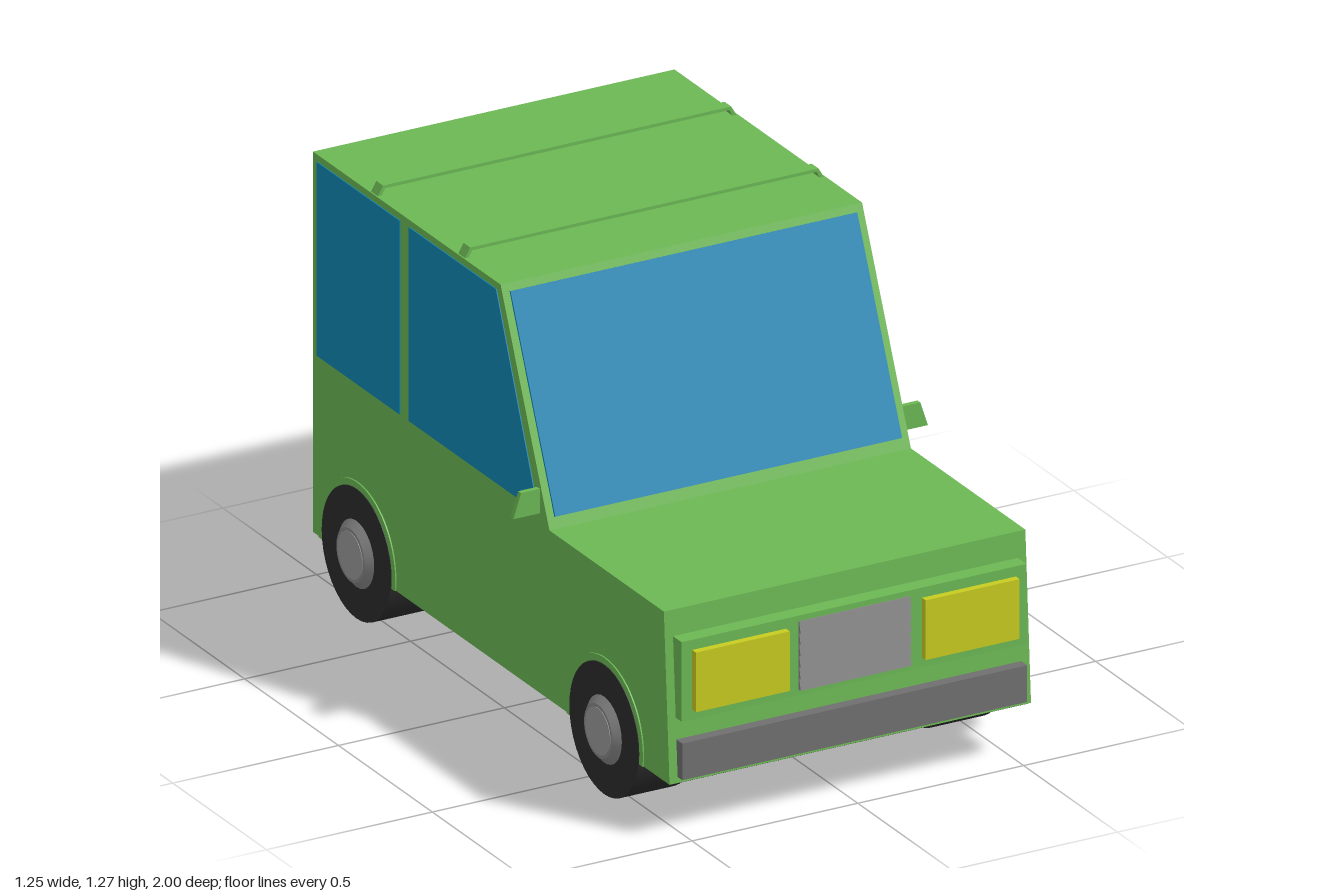
import * as THREE from 'three';

const mat = (name, color) => {
  const m = new THREE.MeshStandardMaterial({ color });
  m.name = name;
  return m;
};

export function createModel() {
  const car = new THREE.Group();
  car.name = 'car';
  const green = mat('bodyGreen', 0x6cb854);
  const glass = mat('windowBlue', 0x0f86b4);
  const yellow = mat('lampYellow', 0xc8cc20);
  const grey = mat('bumperGrey', 0x707070);
  const darkGrey = mat('rearBumperGrey', 0x505050);
  const silver = mat('metalGrey', 0x868686);
  const capGrey = mat('capGrey', 0x9a9a9a);
  const black = mat('rubberBlack', 0x2b2b2b);

  const add = (name, geo, material, x = 0, y = 0, z = 0) => {
    const m = new THREE.Mesh(geo, material);
    m.name = name;
    m.position.set(x, y, z);
    car.add(m);
    return m;
  };
  // Box given by its limits
  const box = (name, material, x0, x1, y0, y1, z0, z1) =>
    add(name, new THREE.BoxGeometry(x1 - x0, y1 - y0, z1 - z0), material,
      (x0 + x1) / 2, (y0 + y1) / 2, (z0 + z1) / 2);
  const extrude = (shape, depth) => {
    const g = new THREE.ExtrudeGeometry(shape, { depth, bevelEnabled: false, curveSegments: 24 });
    return g.translate(0, 0, -depth / 2);
  };
  const polygon = pts => new THREE.Shape(pts.map(p => new THREE.Vector2(...p)));
  // Side profile in (z, y), extruded across x
  const across = (shape, width) => extrude(shape, width).rotateY(-Math.PI / 2);

  // Body shell and dark floor
  add('body', across(polygon([
    [0.96, 0.155], [0.93, 0.64], [0.32, 0.64], [0.06, 1.245], [-0.94, 1.245], [-0.94, 0.155],
  ]), 1.09), green);
  box('underside', black, -0.54, 0.54, 0.152, 0.158, -0.935, 0.955);

  // Windscreen lying on the slope, and rear window
  add('windscreen', across(polygon([
    [0.305, 0.668], [0.3125, 0.6715], [0.0735, 1.227], [0.066, 1.2235],
  ]), 1.046), glass);
  box('rearWindow', glass, -0.52, 0.52, 0.67, 1.222, -0.944, -0.936);

  for (const s of [-1, 1]) {
    // Side windows
    add('frontSideWindow', across(polygon([
      [0.265, 0.67], [0.04, 1.225], [-0.425, 1.225], [-0.425, 0.67],
    ]), 0.006), glass, s * 0.545);
    add('rearSideWindow', across(polygon([
      [-0.475, 0.67], [-0.475, 1.225], [-0.917, 1.225], [-0.917, 0.67],
    ]), 0.006), glass, s * 0.545);

    // Door mirror
    add('mirror', extrude(polygon([
      [s * 0.54, 0.67], [s * 0.625, 0.67], [s * 0.602, 0.74], [s * 0.54, 0.74],
    ]), 0.015), green, 0, 0, 0.262);

    // Front and rear lamps
    const lamp = (name, a, b, ...rest) =>
      box(name, yellow, Math.min(s * a, s * b), Math.max(s * a, s * b), ...rest);
    lamp('headlight', 0.205, 0.488, 0.366, 0.537, 0.97, 1.0);
    lamp('rearLamp', 0.26, 0.437, 0.183, 0.267, -1.0, -0.985);

    for (const z of [0.62, -0.7]) {
      // Tyre, bevelled hub and centre cap
      const tyre = new THREE.CylinderGeometry(0.185, 0.185, 0.165, 40).rotateZ(Math.PI / 2);
      add('tyre', tyre, black, s * 0.4675, 0.185, z);
      const hub = new THREE.CylinderGeometry(0.075, 0.097, 0.02, 32).rotateZ(-s * Math.PI / 2);
      add('hub', hub, silver, s * 0.558, 0.185, z);
      const cap = new THREE.CylinderGeometry(0.066, 0.066, 0.004, 32).rotateZ(Math.PI / 2);
      add('hubCap', cap, capGrey, s * 0.5675, 0.185, z);

      // Wheel arch lip
      const arch = new THREE.Shape();
      arch.absarc(0, 0, 0.205, -0.147, Math.PI + 0.147, false);
      arch.absarc(0, 0, 0.186, Math.PI + 0.162, -0.162, true);
      add('wheelArch', across(arch, 0.008), green, s * 0.545, 0.185, z);
    }
  }

  // Front panel, bumpers
  box('frontPanel', green, -0.52, 0.52, 0.338, 0.566, 0.93, 0.98);
  box('frontBumper', grey, -0.52, 0.52, 0.172, 0.277, 0.94, 0.984);
  box('rearBumper', darkGrey, -0.5, 0.5, 0.175, 0.27, -0.995, -0.93);

  // Grille with sawtooth slats
  const slats = 6, y0 = 0.355, step = 0.195 / slats;
  const teeth = [[0.97, y0]];
  for (let i = 0; i < slats; i++) {
    teeth.push([0.992, y0 + i * step], [0.984, y0 + (i + 1) * step]);
  }
  teeth.push([0.97, y0 + 0.195]);
  add('grille', across(polygon(teeth), 0.335), silver);

  // Roof bars on splayed feet
  for (const z of [-0.155, -0.62]) {
    add('roofBar', extrude(polygon([
      [-0.542, 1.243], [-0.525, 1.272], [0.525, 1.272], [0.542, 1.243],
      [0.53, 1.243], [0.519, 1.263], [-0.519, 1.263], [-0.53, 1.243],
    ]), 0.036), green, 0, 0, z);
  }
  return car;
}
